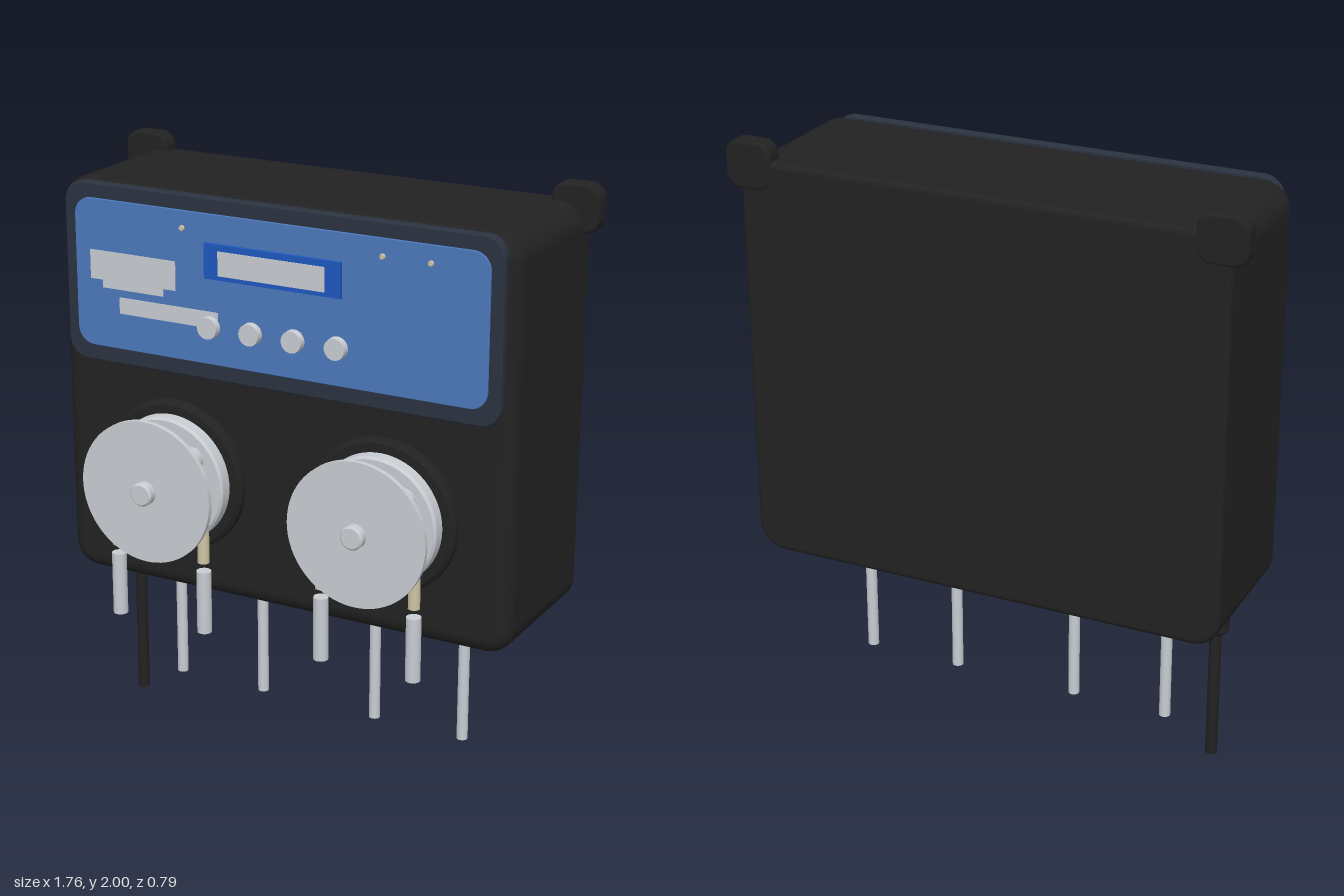
import * as THREE from 'three';
import { mergeGeometries } from 'three/addons/utils/BufferGeometryUtils.js';

const material = (name, color) => {
  const m = new THREE.MeshStandardMaterial({ color });
  m.name = name;
  return m;
};

// Rounded rectangle centred on the origin
function roundedRect(w, h, r, steps = 8) {
  const pts = [];
  const corners = [[1, 1], [-1, 1], [-1, -1], [1, -1]];
  corners.forEach(([sx, sy], c) => {
    for (let i = 0; i <= steps; i++) {
      const a = (c + i / steps) * Math.PI / 2;
      pts.push(new THREE.Vector2(sx * (w / 2 - r) + r * Math.cos(a), sy * (h / 2 - r) + r * Math.sin(a)));
    }
  });
  return pts;
}

// Rounded block from z0 (back) to z1 (front), with its own edge radius at each end
function roundedBlock(w, h, r, z0, z1, backEdge, frontEdge) {
  const rings = [];
  const steps = 6;
  for (let i = 0; i <= steps; i++) {
    const a = i / steps * Math.PI / 2;
    rings.push([backEdge * (1 - Math.sin(a)), z0 + backEdge * (1 - Math.cos(a))]);
  }
  for (let i = 0; i <= steps; i++) {
    const a = i / steps * Math.PI / 2;
    rings.push([frontEdge * (1 - Math.cos(a)), z1 - frontEdge * (1 - Math.sin(a))]);
  }
  const loops = rings.map(([inset]) => roundedRect(w - 2 * inset, h - 2 * inset, r - inset));
  const n = loops[0].length;
  const pos = [], index = [];
  loops.forEach((loop, k) => loop.forEach(p => pos.push(p.x, p.y, rings[k][1])));
  for (let k = 0; k < loops.length - 1; k++) {
    for (let i = 0; i < n; i++) {
      const a = k * n + i, b = k * n + (i + 1) % n;
      index.push(a, b, b + n, a, b + n, a + n);
    }
  }
  const side = new THREE.BufferGeometry();
  side.setAttribute('position', new THREE.Float32BufferAttribute(pos, 3));
  side.setIndex(index);
  side.computeVertexNormals();
  const front = new THREE.ShapeGeometry(new THREE.Shape(loops[loops.length - 1])).translate(0, 0, z1);
  const back = new THREE.ShapeGeometry(new THREE.Shape(loops[0])).rotateY(Math.PI).translate(0, 0, z0);
  [front, back].forEach(g => g.deleteAttribute('uv'));
  return mergeGeometries([side, front, back]);
}

export function createModel() {
  const black = material('black plastic', 0x222222);
  const navy = material('dark navy trim', 0x2a3340);
  const blue = material('panel blue', 0x4c79bd);
  const deepBlue = material('display blue', 0x1f58bf);
  const grey = material('light grey', 0xc8cdd2);
  const cream = material('hose cream', 0xcfc5a5);

  const model = new THREE.Group();
  model.name = 'doublePumpController';
  const add = (name, geo, mat, x = 0, y = 0, z = 0, parent = model) => {
    const mesh = new THREE.Mesh(geo, mat);
    mesh.name = name;
    mesh.position.set(x, y, z);
    parent.add(mesh);
    return mesh;
  };
  // Disc along z, from z0 to z1
  const disc = (r0, r1, z0, z1, sides = 48) =>
    new THREE.CylinderGeometry(r1, r0, z1 - z0, sides).rotateX(Math.PI / 2).translate(0, 0, (z0 + z1) / 2);
  // Upright rod from y0 to y1
  const rod = (r, y0, y1, sides = 20) =>
    new THREE.CylinderGeometry(r, r, y1 - y0, sides).translate(0, (y0 + y1) / 2, 0);
  // Flat plate given by its edges
  const plate = (name, x0, x1, y0, y1, z0, z1, mat) =>
    add(name, new THREE.BoxGeometry(x1 - x0, y1 - y0, z1 - z0), mat, (x0 + x1) / 2, (y0 + y1) / 2, (z0 + z1) / 2);

  // Housing and mounting ears
  add('housing', roundedBlock(1.66, 1.38, 0.09, -0.385, 0.165, 0.02, 0.055), black, 0, 1.25);
  for (const s of [-1, 1]) {
    const side = s > 0 ? 'left' : 'right';
    add(side + 'MountingEar', roundedBlock(0.165, 0.16, 0.05, -0.388, -0.32, 0.012, 0.012), black, s * 0.797, 1.92);
    add(side + 'EarScrew', disc(0.025, 0.025, -0.395, -0.38, 20), black, s * 0.8, 1.92);
  }

  // Control panel
  add('panelFrame', roundedBlock(1.58, 0.605, 0.07, 0.15, 0.187, 0.004, 0.006), navy, 0, 1.637);
  add('panelFace', roundedBlock(1.495, 0.5, 0.06, 0.185, 0.194, 0.002, 0.002), blue, 0, 1.64);
  plate('displayFrame', -0.248, 0.245, 1.68, 1.797, 0.19, 0.207, deepBlue);
  plate('displayScreen', -0.195, 0.19, 1.695, 1.776, 0.205, 0.21, grey);
  plate('labelUpper', -0.69, -0.363, 1.62, 1.718, 0.19, 0.197, grey);
  plate('labelMiddle', -0.643, -0.41, 1.594, 1.62, 0.19, 0.197, grey);
  plate('labelLower', -0.58, -0.205, 1.513, 1.568, 0.19, 0.197, grey);
  for (const x of [-0.235, -0.08, 0.075, 0.23]) add('button', disc(0.038, 0.036, 0.19, 0.218, 28), grey, x, 1.517);
  for (const x of [-0.335, 0.385, 0.55]) add('indicator', disc(0.011, 0.008, 0.19, 0.201, 14), cream, x, 1.832);

  // Hose loop: two straight legs joined by a half circle
  const hoseR = 0.167;
  const hosePath = new THREE.CurvePath();
  const arc = [];
  for (let i = 0; i <= 24; i++) {
    const a = Math.PI * (1 - i / 24);
    arc.push(new THREE.Vector3(hoseR * Math.cos(a), hoseR * Math.sin(a), 0));
  }
  hosePath.add(new THREE.LineCurve3(new THREE.Vector3(-hoseR, -0.245, 0), arc[0]));
  hosePath.add(new THREE.CatmullRomCurve3(arc));
  hosePath.add(new THREE.LineCurve3(arc[24], new THREE.Vector3(hoseR, -0.245, 0)));
  const hoseGeo = new THREE.TubeGeometry(hosePath, 80, 0.02, 14);

  // Pump heads
  for (const s of [-1, 1]) {
    const pump = new THREE.Group();
    pump.name = s > 0 ? 'leftPump' : 'rightPump';
    pump.position.set(s * 0.388, 0.975, 0);
    model.add(pump);
    const part = (name, geo, mat, x = 0, y = 0, z = 0) => add(name, geo, mat, x, y, z, pump);
    part('pumpCollar', disc(0.265, 0.262, 0.15, 0.185, 64), black);
    part('pumpCollarRim', disc(0.262, 0.25, 0.185, 0.196, 64), black);
    part('pumpBase', disc(0.22, 0.22, 0.19, 0.236, 64), grey);
    part('pumpBaseRim', disc(0.22, 0.212, 0.236, 0.244, 64), grey);
    part('hose', hoseGeo, cream, 0, 0, 0.28);
    part('rotorHub', disc(0.078, 0.078, 0.24, 0.34, 32), grey);
    for (const rx of [-1, 1]) {
      for (const ry of [-1, 1]) part('roller', disc(0.041, 0.041, 0.24, 0.322, 24), grey, rx * 0.108, ry * 0.098);
    }
    part('coverDisc', disc(0.244, 0.244, 0.349, 0.367, 80), grey);
    part('spindle', disc(0.04, 0.04, 0.33, 0.392, 28), grey);
    part('spindleTip', disc(0.04, 0.034, 0.392, 0.398, 28), grey);

    // Hose connectors in front, outlet pipes and glands underneath
    for (const t of [-1, 1]) {
      const x = s * 0.388 + t * hoseR;
      add('hoseConnector', rod(0.025, 0.48, 0.7), grey, x, 0, 0.28);
      add('pipeGland', rod(0.033, 0.49, 0.57), navy, x, 0, -0.11);
      add('outletPipe', rod(0.019, 0.1, 0.52), grey, x, 0, -0.11);
    }
  }

  // Power cable
  add('cableGland', rod(0.044, 0.475, 0.57), black, -0.725, 0, -0.11);
  add('cableGlandTip', new THREE.CylinderGeometry(0.044, 0.036, 0.01, 20), black, -0.725, 0.47, -0.11);
  add('powerCable', rod(0.02, 0, 0.48), black, -0.725, 0, -0.11);

  return model;
}
